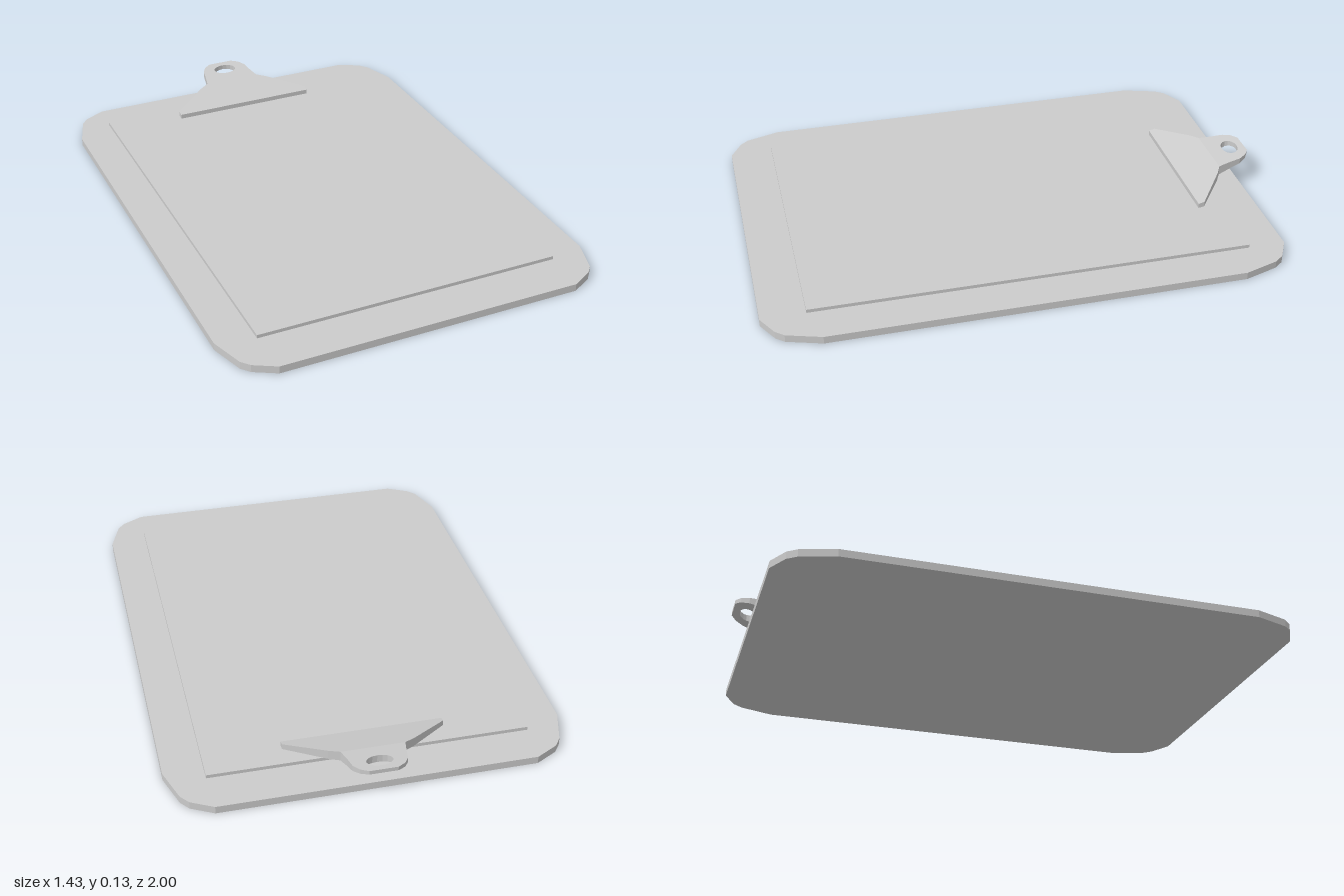
import * as THREE from 'three';

const material = new THREE.MeshStandardMaterial({ color: 0xcccccc, flatShading: true });

// Slab from an [x, z] half outline (x > 0), mirrored across x, lying flat with its base on y = 0.
function slab(half, height, hole) {
  const mirrored = half.map(([x, z]) => [-x, z]).reverse();
  const shape = new THREE.Shape([...half, ...mirrored].map(([x, z]) => new THREE.Vector2(x, -z)));
  if (hole) shape.holes.push(hole);
  const geometry = new THREE.ExtrudeGeometry(shape, { depth: height, bevelEnabled: false, curveSegments: 8 });
  return geometry.rotateX(-Math.PI / 2);
}

// Slanted plate: a unit-high slab whose underside and top run linearly between two z stations.
function slantedPlate(half, from, to, hole) {
  const geometry = slab(half, 1, hole);
  const p = geometry.attributes.position;
  for (let i = 0; i < p.count; i++) {
    const t = (p.getZ(i) - from.z) / (to.z - from.z);
    const bottom = THREE.MathUtils.lerp(from.bottom, to.bottom, t);
    const top = THREE.MathUtils.lerp(from.top, to.top, t);
    p.setY(i, p.getY(i) > 0.5 ? top : bottom);
  }
  geometry.computeVertexNormals();
  return geometry;
}

function part(name, geometry) {
  const mesh = new THREE.Mesh(geometry, material);
  mesh.name = name;
  return mesh;
}

export function createModel() {
  const model = new THREE.Group();
  model.name = 'clipboard';

  // Backing board with faceted round corners
  const board = slab([
    [0.565, 0.997], [0.645, 0.953], [0.672, 0.922], [0.713, 0.795],
    [0.713, -0.742], [0.672, -0.87], [0.645, -0.905], [0.565, -0.948],
  ], 0.028);
  model.add(part('board', board));

  // Stack of paper, just above the board
  const paper = new THREE.BoxGeometry(1.148, 0.013, 1.64);
  paper.translate(-0.002, 0.0395, 0.015);
  model.add(part('paper', paper));

  // Clip: wide jaw rising to the neck, then a hanging tab with an oval hole
  const clip = new THREE.Group();
  clip.name = 'clip';
  clip.position.x = 0.004;
  const lip = { z: -0.71, bottom: 0.047, top: 0.065 };
  const neck = { z: -0.86, bottom: 0.07, top: 0.108 };
  const tip = { z: -1, bottom: 0.112, top: 0.127 };
  const jaw = [[0.29, -0.71], [0.29, -0.733], [0.152, -0.838], [0.114, -0.86]];
  const tab = [[0.114, -0.86], [0.103, -0.91], [0.096, -0.953], [0.078, -0.982], [0.05, -1]];
  const hole = new THREE.Path().absellipse(0, 0.945, 0.047, 0.031, 0, Math.PI * 2, true);
  clip.add(part('clipJaw', slantedPlate(jaw, lip, neck)));
  clip.add(part('clipTab', slantedPlate(tab, neck, tip, hole)));
  model.add(clip);

  return model;
}
